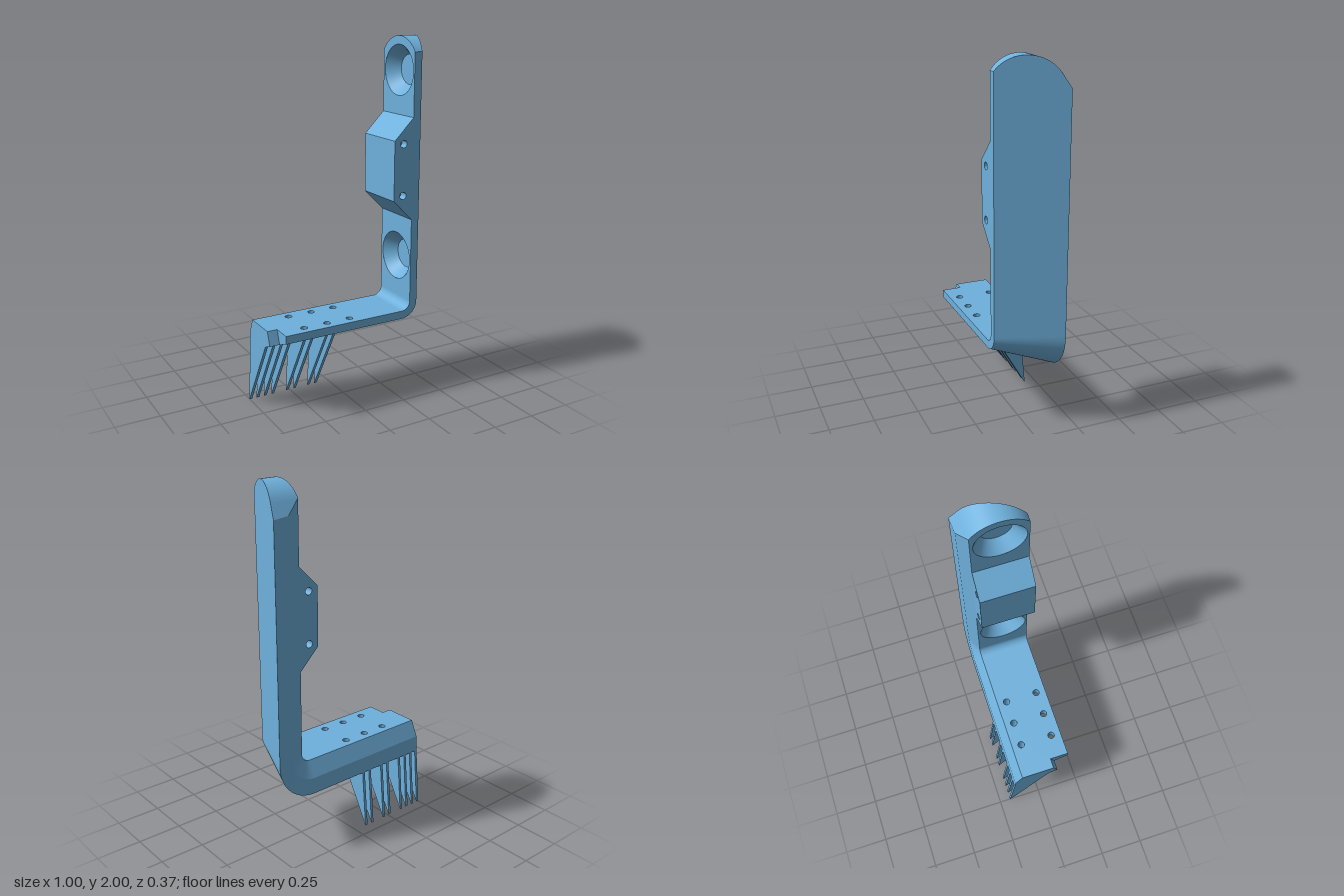
import * as THREE from 'three';

const V = (x, y, z) => new THREE.Vector3(x, y, z);
const UP = V(0, 1, 0), DOWN = V(0, -1, 0), BACK = V(0, 0, -1), FRONT = V(0, 0, 1), LEFT = V(1, 0, 0), RIGHT = V(-1, 0, 0);
const material = new THREE.MeshStandardMaterial({ color: 0x6fb1dd, side: THREE.DoubleSide });

// Wedge cross-section of the L: [z, depth below the inner face]
const SECTION = [[0.187, 0], [-0.11, 0], [-0.152, 0.09], [-0.157, 0.18], [0.187, 0.045]];
const EDGES = ['inner', 'chamfer', 'back', 'outer', 'front'];
const X_END = -0.502, X_BEND = 0.27, Y_BEND = 0.56, R_BEND = 0.05;
const X_IN = X_BEND + R_BEND, Y_IN = Y_BEND - R_BEND;
const NOTCH_X = -0.445, NOTCH_TOP = 0.08, NOTCH_LOW = 0.107;

const lerpDepth = ([z0, d0], [z1, d1]) => z => d0 + (d1 - d0) * (z - z0) / (z1 - z0);
const outerDepth = lerpDepth(SECTION[3], SECTION[4]);

// Height of the rounded tip: an arc, then a straight slope at the back
function tipY(z) {
  if (z < -0.112) return 1.845 + (z + 0.157) / 0.045 * 0.071;
  return 1.82 + Math.sqrt(0.18 ** 2 - (z - 0.04) ** 2);
}
const range = (a, b, n) => Array.from({ length: n + 1 }, (_, i) => a + (b - a) * i / n);

// Make the first triangle, and so the whole face, look towards "out"
function orient(geo, out) {
  const p = geo.attributes.position, idx = geo.index.array;
  const [a, b, c] = [0, 1, 2].map(i => V(0, 0, 0).fromBufferAttribute(p, idx[i]));
  if (b.sub(a).cross(c.sub(a)).dot(out) < 0) {
    for (let i = 0; i < idx.length; i += 3) [idx[i], idx[i + 1]] = [idx[i + 1], idx[i]];
  }
  geo.computeVertexNormals();
  return geo;
}

// Surface between rows of points
function grid(rows, out) {
  const n = rows[0].length, index = [];
  for (let i = 0; i < rows.length - 1; i++) {
    for (let j = 0; j < n - 1; j++) {
      const a = i * n + j;
      index.push(a, a + 1, a + n, a + 1, a + n + 1, a + n);
    }
  }
  const geo = new THREE.BufferGeometry().setFromPoints(rows.flat());
  geo.setIndex(index);
  return orient(geo, out);
}

// Flat outline with round holes, placed in space by map(u, v)
function sheet(points, holes, map, out) {
  const shape = new THREE.Shape(points.map(p => new THREE.Vector2(...p)));
  for (const [u, v, r] of holes) shape.holes.push(new THREE.Path().absarc(u, v, r, 0, Math.PI * 2, true));
  const geo = new THREE.ShapeGeometry(shape, 24), p = geo.attributes.position;
  for (let i = 0; i < p.count; i++) {
    const q = map(p.getX(i), p.getY(i));
    p.setXYZ(i, q.x, q.y, q.z);
  }
  return orient(geo, out);
}

function part(parent, name, ...geos) {
  const group = new THREE.Group();
  group.name = name;
  for (const g of geos) {
    const mesh = new THREE.Mesh(g, material);
    mesh.name = name;
    group.add(mesh);
  }
  parent.add(group);
  return group;
}

function basePlate(root) {
  const holes = [-0.312, -0.173, -0.035].flatMap(x => [-0.055, 0.13].map(z => [x, z, 0.019]));
  const outline = notchZ => [[X_END, notchZ], [NOTCH_X, notchZ], [NOTCH_X, 0.187], [X_BEND, 0.187]];
  const at = (x, [z, d]) => V(x, Y_IN - d, z);
  part(root, 'basePlateTop', sheet([...outline(NOTCH_TOP), [X_BEND, -0.11], [X_END, -0.11]], holes,
    (x, z) => V(x, Y_IN, z), UP));
  part(root, 'basePlateUnderside', sheet([...outline(NOTCH_LOW), [X_BEND, -0.157], [X_END, -0.157]], holes,
    (x, z) => V(x, Y_IN - outerDepth(z), z), DOWN));
  const side = (i, x0, out) => grid([x0, X_BEND].map(x => [at(x, SECTION[i]), at(x, SECTION[(i + 1) % 5])]), out);
  part(root, 'basePlateSides', side(1, X_END, BACK), side(2, X_END, BACK), side(4, NOTCH_X, FRONT));

  // End face and corner notch
  const low = [NOTCH_LOW, outerDepth(NOTCH_LOW)], top = [NOTCH_TOP, 0];
  part(root, 'basePlateEnd', sheet([top, SECTION[1], SECTION[2], SECTION[3], low], [],
    (z, d) => at(X_END, [z, d]), RIGHT));
  part(root, 'cornerNotch',
    grid([X_END, NOTCH_X].map(x => [at(x, top), at(x, low)]), FRONT),
    sheet([top, SECTION[0], SECTION[4], low], [], (z, d) => at(NOTCH_X, [z, d]), RIGHT));

  // Walls of the through holes
  part(root, 'plateHoles', ...holes.map(([x, z, r]) => {
    const ring = range(0, Math.PI * 2, 24).map(a => [x + r * Math.cos(a), z + r * Math.sin(a)]);
    return grid([ring.map(([u, v]) => V(u, Y_IN, v)), ring.map(([u, v]) => V(u, Y_IN - outerDepth(v), v))], RIGHT);
  }));
}

function bend(root) {
  const outs = [UP, BACK, BACK, DOWN, FRONT];
  const at = (t, [z, d]) => V(X_BEND + (R_BEND + d) * Math.sin(t), Y_BEND - (R_BEND + d) * Math.cos(t), z);
  part(root, 'bend', ...EDGES.map((_, i) =>
    grid(range(0, Math.PI / 2, 20).map(t => [at(t, SECTION[i]), at(t, SECTION[(i + 1) % 5])]), outs[i])));
}

function upright(root) {
  const pits = [[0.04, 0.79, 0.135], [0.04, 1.82, 0.135]];
  const outs = [RIGHT, BACK, BACK, LEFT];
  outs.forEach((out, i) => {
    const a = SECTION[i], b = SECTION[i + 1], depth = lerpDepth(a, b);
    const edge = range(a[0], b[0], 32).map(z => [z, tipY(z)]);
    part(root, EDGES[i] + 'Upright', sheet([...edge, [b[0], Y_BEND], [a[0], Y_BEND]], i === 0 ? pits : [],
      (z, y) => V(X_IN + depth(z), y, z), out));
  });
  const [zf, df] = SECTION[4];
  part(root, 'frontUpright', grid([0, df].map(d => [V(X_IN + d, Y_BEND, zf), V(X_IN + d, tipY(zf), zf)]), FRONT));

  // Rounded tip
  const zs = [...range(0.187, -0.11, 32), ...range(-0.112, -0.152, 2), -0.157];
  const innerDepth = z => z >= -0.11 ? 0 : lerpDepth(...(z >= -0.152 ? SECTION.slice(1, 3) : SECTION.slice(2, 4)))(z);
  part(root, 'roundedTip', grid([innerDepth, outerDepth].map(f => zs.map(z => V(X_IN + f(z), tipY(z), z))), UP));

  // Blind conical recesses in the inner face
  for (const [z, y, r] of pits) {
    const ring = (rad, d) => range(0, Math.PI * 2, 40).map(a => V(X_IN + d, y + rad * Math.sin(a), z + rad * Math.cos(a)));
    part(root, 'conicalRecess', grid([ring(r, 0), ring(0.08, 0.068)], BACK),
      sheet(range(0, Math.PI * 2, 40).slice(0, -1).map(a => [z + 0.08 * Math.cos(a), y + 0.08 * Math.sin(a)]), [],
        (u, v) => V(X_IN + 0.068, v, u), RIGHT));
  }
}

function mountBlock(root) {
  const shape = new THREE.Shape([[X_IN, 1.03], [X_IN, 1.585], [0.205, 1.47], [0.205, 1.145]]
    .map(p => new THREE.Vector2(...p)));
  const ys = [1.17, 1.45];
  for (const y of ys) shape.holes.push(new THREE.Path().absarc(0.262, y, 0.02, 0, Math.PI * 2, true));
  part(root, 'mountBlock', new THREE.ExtrudeGeometry(shape, { depth: 0.297, bevelEnabled: false })
    .translate(0, 0, -0.11));
  // Floors that close the screw holes
  part(root, 'screwHoleFloors', ...ys.map(y =>
    new THREE.CylinderGeometry(0.02, 0.02, 0.2, 20).rotateX(Math.PI / 2).translate(0.262, y, 0.0385)));
}

// Thin pointed blades under the plate
function blades(root) {
  const shape = new THREE.Shape([[0.05, 0.411], [-0.187, 0], [-0.157, 0.33], [-0.14, 0.345]]
    .map(([z, y]) => new THREE.Vector2(-z, y)));
  const geo = new THREE.ExtrudeGeometry(shape, { depth: 0.016, bevelEnabled: false })
    .rotateY(Math.PI / 2).translate(-0.008, 0, 0);
  for (const x of [-0.494, -0.45, -0.404, -0.357, -0.264, -0.218, -0.127, -0.081]) {
    part(root, 'blade', geo).position.x = x;
  }
}

export function createModel() {
  const root = new THREE.Group();
  root.name = 'bladedBracket';
  basePlate(root);
  bend(root);
  upright(root);
  mountBlock(root);
  blades(root);
  return root;
}
